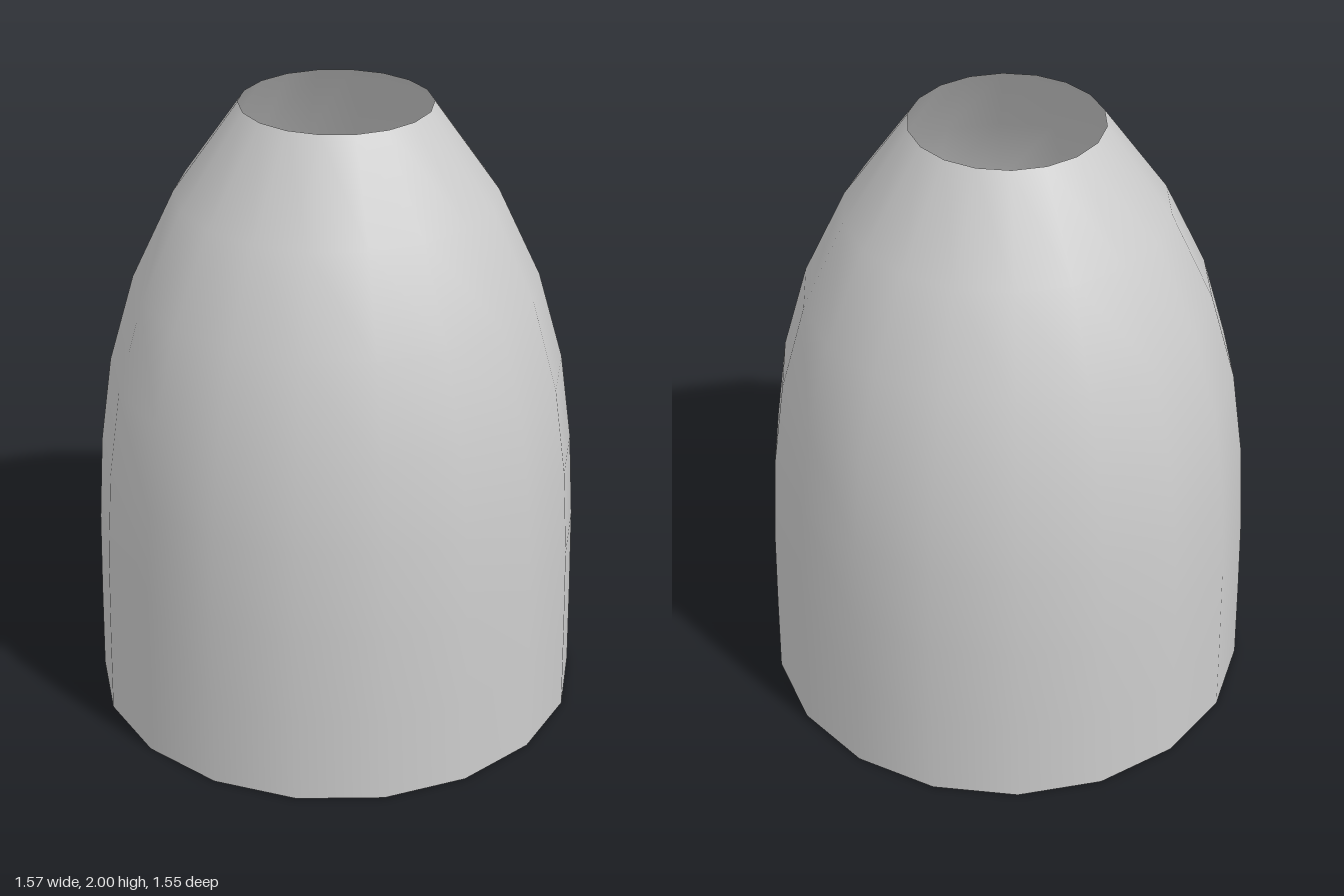
import * as THREE from 'three';

export function createModel() {
  const group = new THREE.Group();
  group.name = 'openDome';

  // Radii of evenly spaced rings, from the wide base to the open top
  const radii = [0.787, 0.782, 0.775, 0.757, 0.717, 0.635, 0.5, 0.297];
  const profile = radii.map((r, i) => new THREE.Vector2(r, (2 * i) / (radii.length - 1)));

  // Thin 18-sided shell, open at both ends, with a corner on the x axis
  const shell = new THREE.Mesh(
    new THREE.LatheGeometry(profile, 18, Math.PI / 2),
    new THREE.MeshStandardMaterial({ color: 0xcccccc, side: THREE.DoubleSide })
  );
  shell.name = 'shell';
  group.add(shell);

  return group;
}
